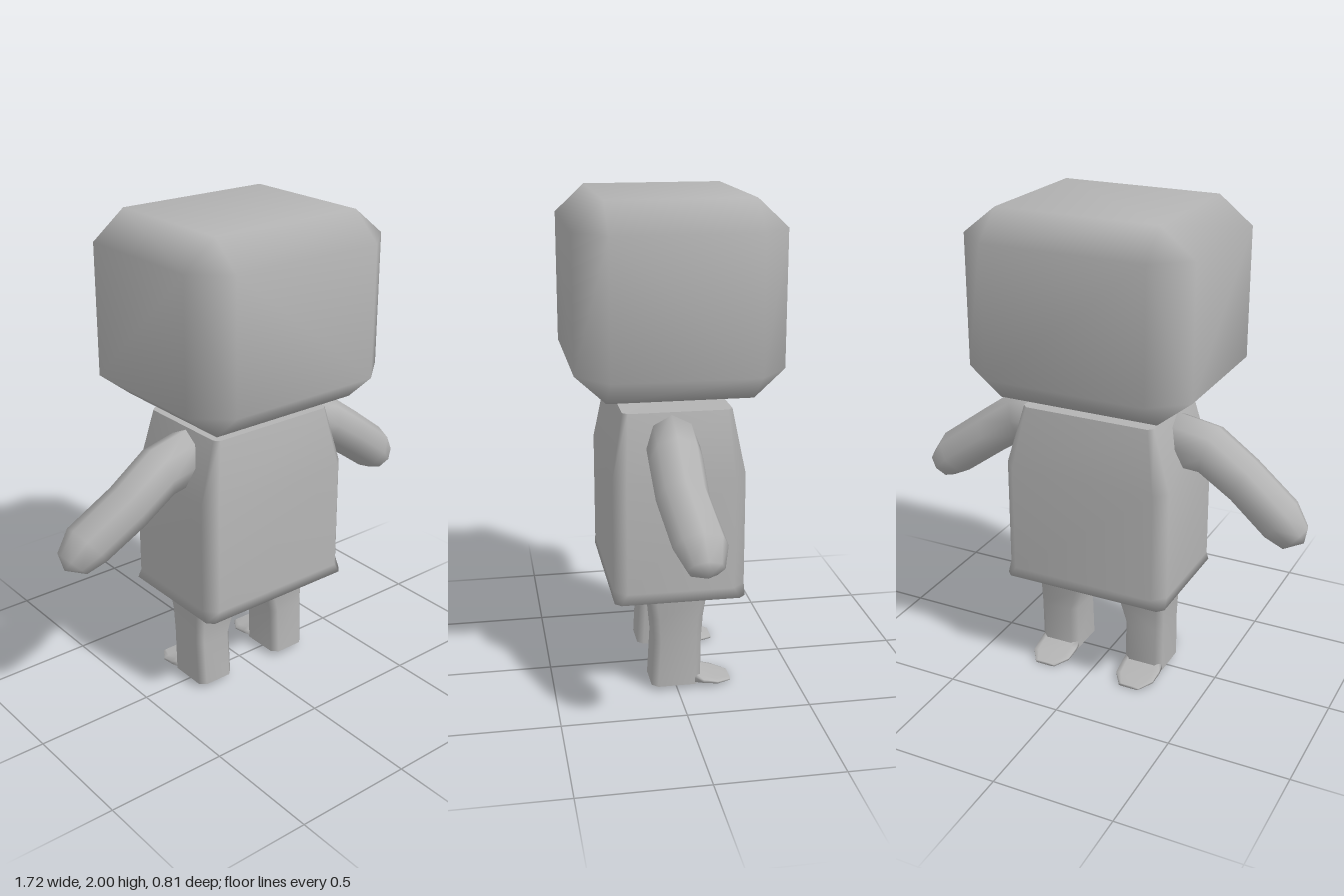
import * as THREE from 'three';
import { mergeVertices } from 'three/addons/utils/BufferGeometryUtils.js';
import { ConvexGeometry } from 'three/addons/geometries/ConvexGeometry.js';

const V = (x, y, z) => new THREE.Vector3(x, y, z);

// Horizontal rectangle with cut corners
function cutRect(y, cx, cz, hx, hz, c) {
  return [
    [hx, c - hz], [hx, hz - c], [hx - c, hz], [c - hx, hz],
    [-hx, hz - c], [-hx, c - hz], [c - hx, -hz], [hx - c, -hz],
  ].map(([x, z]) => V(cx + x, y, cz + z));
}

// Skin over equal-sized rings; side -1 mirrors it in x. Sharp ends get their own vertices.
function loft(rings, { start, end, sharpStart = false, sharpEnd = false, side = 1 }) {
  const n = rings[0].length, points = rings.flat(), index = [];
  const tri = (a, b, c) => (side > 0 ? index.push(a, b, c) : index.push(a, c, b));
  for (let i = 0; i < rings.length - 1; i++) {
    for (let k = 0; k < n; k++) {
      const a = i * n + k, b = i * n + (k + 1) % n;
      tri(a, a + n, b);
      tri(b, a + n, b + n);
    }
  }
  const cap = (ring, first, centre, sharp, flip) => {
    if (sharp) {
      first = points.length;
      points.push(...ring);
    }
    const c = points.push(centre) - 1;
    for (let k = 0; k < n; k++) {
      const a = first + k, b = first + (k + 1) % n;
      flip ? tri(c, b, a) : tri(c, a, b);
    }
  };
  cap(rings[0], 0, start, sharpStart, false);
  cap(rings[rings.length - 1], (rings.length - 1) * n, end, sharpEnd, true);
  const g = new THREE.BufferGeometry();
  g.setAttribute('position', new THREE.Float32BufferAttribute(points.flatMap(p => [p.x * side, p.y, p.z]), 3));
  g.setIndex(index);
  g.computeVertexNormals();
  return g;
}

// Box with bevelled edges and one smooth skin
function headGeometry() {
  const points = [];
  for (const sx of [-1, 1]) for (const sy of [-1, 1]) for (const sz of [-1, 1]) {
    for (const [x, y, z] of [[0.335, 0.378, 0.285], [0.335, 0.267, 0.405], [0.475, 0.267, 0.285]]) {
      points.push(V(sx * x, 1.622 + sy * y, sz * z));
    }
  }
  let g = new ConvexGeometry(points);
  g.deleteAttribute('normal');
  g = mergeVertices(g, 1e-4);
  g.computeVertexNormals();
  return g;
}

function torsoGeometry() {
  const rings = [
    [0.4, 0.29, 0.11, 0.03], [0.425, 0.36, 0.263, 0.025], [0.47, 0.36, 0.264, 0.05],
    [0.93, 0.36, 0.264, 0.05], [1.187, 0.285, 0.217, 0.02],
  ].map(([y, hx, hz, c]) => cutRect(y, 0, 0, hx, hz, c));
  return loft(rings, { start: V(0, 0.4, 0), end: V(0, 1.178, 0), sharpEnd: true });
}

function armGeometry(side) {
  // top x, top y, bottom x, bottom y, front z, back z
  const rings = [
    [0.27, 1.18, 0.33, 0.94, 0.13, -0.08], [0.46, 1.14, 0.4, 0.935, 0.14, -0.07],
    [0.62, 1.025, 0.535, 0.845, 0.137, -0.066], [0.805, 0.89, 0.69, 0.735, 0.105, -0.1],
    [0.86, 0.8, 0.765, 0.7, 0.065, -0.075],
  ].map(([tx, ty, bx, by, f, b]) => Array.from({ length: 8 }, (_, k) => {
    const a = k * Math.PI / 4;
    const t = (1 + Math.cos(a)) / 2;
    return V(bx + (tx - bx) * t, by + (ty - by) * t, (f + b) / 2 - (f - b) / 2 * Math.sin(a));
  }));
  return loft(rings, { start: V(0.28, 1.06, 0.03), end: V(0.848, 0.732, -0.005), side });
}

function legGeometry(side) {
  // height, inner x, outer x, front z, back z
  const rings = [
    [0.018, 0.115, 0.285, 0.105, -0.098], [0.22, 0.116, 0.288, 0.094, -0.1],
    [0.32, 0.088, 0.29, 0.1, -0.107], [0.4, 0.06, 0.298, 0.112, -0.118],
    [0.45, 0.05, 0.3, 0.115, -0.12],
  ].map(([y, i, o, f, b]) => cutRect(y, (i + o) / 2, (f + b) / 2, (o - i) / 2, (f - b) / 2, 0.025));
  return loft(rings, { start: V(0.2, 0.018, 0), end: V(0.18, 0.45, 0), sharpStart: true, side });
}

// Thin tapering toe flap behind the ankle
function toeGeometry(side) {
  const rings = [
    [-0.07, 0.018, 0.065, 0.085], [-0.11, 0.015, 0.042, 0.088],
    [-0.17, 0.008, 0.024, 0.085], [-0.23, 0, 0.012, 0.045],
  ].map(([z, lo, hi, w]) => [
    [1, 0.2], [1, 0.7], [0.75, 1], [-0.75, 1], [-1, 0.7], [-1, 0.2], [-0.75, 0], [0.75, 0],
  ].map(([x, t]) => V(0.2 + x * w, lo + (hi - lo) * t, z)));
  return loft(rings, { start: V(0.2, 0.04, -0.07), end: V(0.2, 0.006, -0.23), side });
}

export function createModel() {
  const model = new THREE.Group();
  model.name = 'blockFigure';
  const grey = new THREE.MeshStandardMaterial({ color: 0xb4b4b4 });
  grey.name = 'plain grey';
  const add = (name, geometry) => {
    const mesh = new THREE.Mesh(geometry, grey);
    mesh.name = name;
    model.add(mesh);
  };
  add('head', headGeometry());
  add('torso', torsoGeometry());
  for (const [label, side] of [['left', 1], ['right', -1]]) {
    add(label + 'Arm', armGeometry(side));
    add(label + 'Leg', legGeometry(side));
    add(label + 'Toe', toeGeometry(side));
  }
  return model;
}
